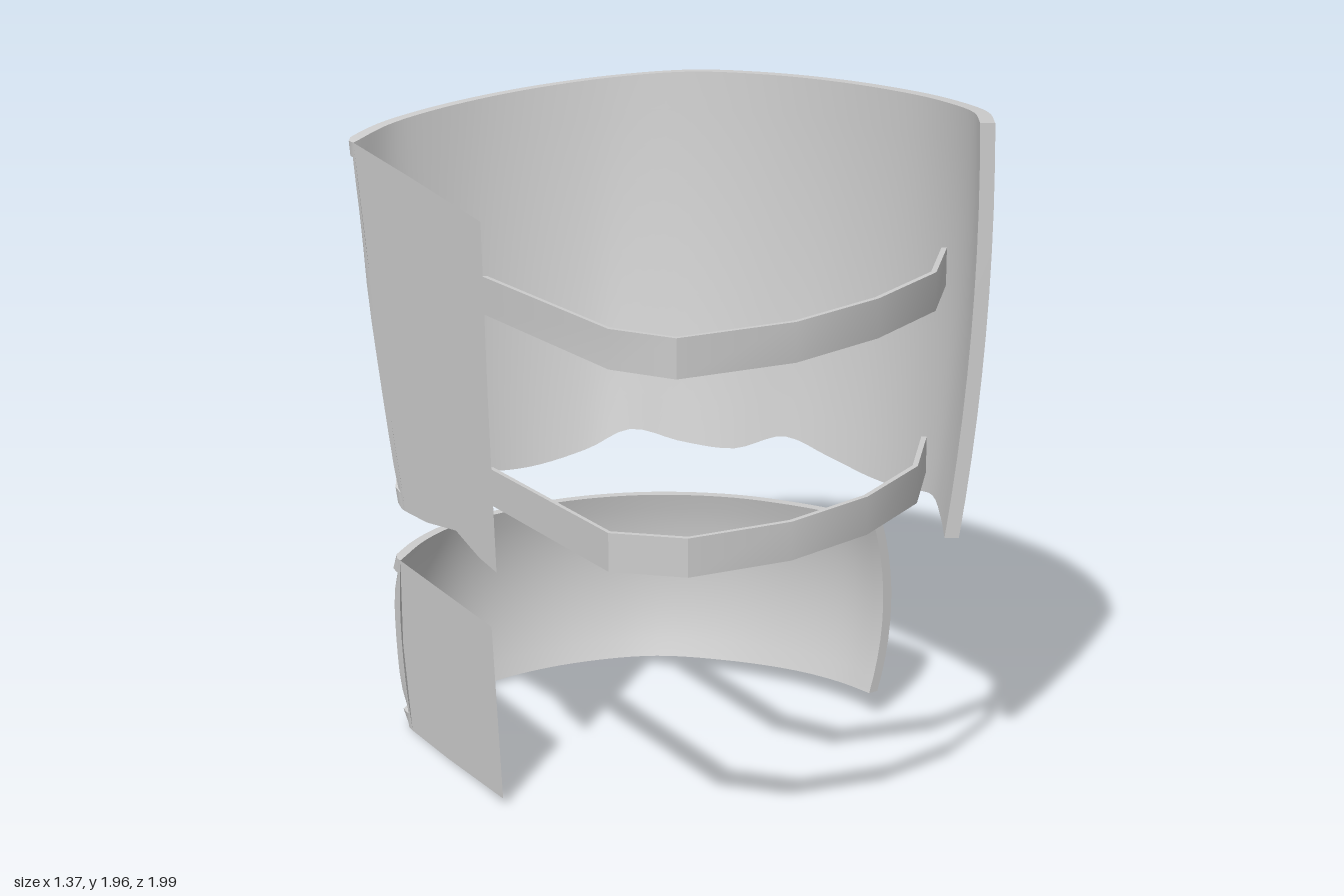
import * as THREE from 'three';
import { toCreasedNormals } from 'three/addons/utils/BufferGeometryUtils.js';

const CUT = -0.69; // flat inner side of the guard
const steel = new THREE.MeshStandardMaterial({ color: 0xcccccc, side: THREE.DoubleSide });
steel.name = 'pale grey';

const curve = pts => new THREE.CatmullRomCurve3(pts.map(p => new THREE.Vector3(...p)));

// Surface between a bottom and a top curve; offset is measured outwards
function makeWall(top, bottom, bulge) {
  const a = curve(top), b = curve(bottom);
  return (u, v, offset) => {
    const p = b.getPointAt(u).lerp(a.getPointAt(u), v);
    const t = b.getTangentAt(u).lerp(a.getTangentAt(u), v).setY(0).normalize();
    const d = offset + bulge * 4 * v * (1 - v);
    p.x = Math.max(CUT, p.x + t.z * d);
    p.z -= t.x * d;
    return p;
  };
}

// Box bent by a rule taking three coordinates from 0 to 1
function bentBox(name, nu, nv, rule, crease = 0.6) {
  let geo = new THREE.BoxGeometry(1, 1, 1, nu, nv, 1);
  const pos = geo.attributes.position;
  for (let i = 0; i < pos.count; i++) {
    const p = rule(pos.getX(i) + 0.5, pos.getY(i) + 0.5, pos.getZ(i) + 0.5);
    pos.setXYZ(i, p.x, p.y, p.z);
  }
  geo = toCreasedNormals(geo, crease);
  const mesh = new THREE.Mesh(geo, steel);
  mesh.name = name;
  return mesh;
}

const slab = (name, wall, [u0, u1], [v0, v1], [o0, o1], nu, nv) =>
  bentBox(name, nu, nv, (a, b, c) => wall(u1 + (u0 - u1) * a, v0 + (v1 - v0) * b, o0 + (o1 - o0) * c));

// Curved plate with raised borders on its top, bottom and front edges
function guard(name, wall, rimV, rimU, depth, nu, nv) {
  const g = new THREE.Group();
  g.name = name;
  g.add(
    slab(name + 'Plate', wall, [0, 1], [0, 1], [0, depth * 0.5], nu, nv),
    slab(name + 'TopRim', wall, [0, 1], [1 - rimV, 1], [0, depth], nu, 1),
    slab(name + 'BottomRim', wall, [0, 1], [0, rimV], [0, depth], nu, 1),
    slab(name + 'FrontRim', wall, [1 - rimU, 1], [0, 1], [0, depth], 1, nv));
  return g;
}

// Flat sheet on the cut side, outlined as [z, y]
function sidePanel(name, outline) {
  const geo = new THREE.ShapeGeometry(new THREE.Shape(outline.map(p => new THREE.Vector2(...p))));
  geo.rotateY(-Math.PI / 2);
  geo.translate(CUT, 0, 0);
  const mesh = new THREE.Mesh(geo, steel);
  mesh.name = name;
  return mesh;
}

// Thin band through plan points [x, z], sloping down towards the cut side
function strap(name, plan, base) {
  return bentBox(name, plan.length - 1, 1, (a, b, c) => {
    const [x, z] = plan[Math.round(a * (plan.length - 1))];
    const r = new THREE.Vector2(x + 0.15, z - 0.2).normalize().multiplyScalar(0.015 * (c - 1));
    const y = base - 0.045 * Math.pow((0.43 - x) / 1.12, 2) - (z < 0.1 ? 0.02 : 0);
    return new THREE.Vector3(Math.max(CUT, x + r.x), y + 0.105 * b, z + r.y);
  });
}

export function createModel() {
  const model = new THREE.Group();
  model.name = 'armGuard';

  // Tall upper guard with a wavy lower edge
  const upper = makeWall(
    [[-0.69, 1.76, -0.84], [-0.54, 1.785, -0.925], [-0.4, 1.805, -0.955], [-0.2, 1.83, -0.96],
      [0, 1.855, -0.92], [0.2, 1.88, -0.83], [0.36, 1.9, -0.7], [0.5, 1.91, -0.5], [0.6, 1.92, -0.22],
      [0.643, 1.93, 0.1], [0.62, 1.94, 0.32], [0.55, 1.955, 0.53], [0.445, 1.965, 0.705]],
    [[-0.69, 0.705, -0.55], [-0.64, 0.73, -0.61], [-0.5, 0.755, -0.7], [-0.35, 0.72, -0.737],
      [-0.18, 0.71, -0.737], [0, 0.75, -0.7], [0.12, 0.81, -0.645], [0.25, 0.775, -0.55],
      [0.36, 0.77, -0.42], [0.45, 0.835, -0.27], [0.51, 0.805, -0.12], [0.55, 0.78, 0.05],
      [0.555, 0.79, 0.22], [0.52, 0.835, 0.42], [0.46, 0.82, 0.55], [0.395, 0.8, 0.665]],
    0.025);
  model.add(guard('upperGuard', upper, 0.042, 0.022, 0.04, 64, 10));
  model.add(sidePanel('upperSidePanel', [[0.01, 1.69], [0.03, 1.2], [0.06, 0.705], [-0.05, 0.715],
    [-0.2, 0.75], [-0.4, 0.715], [-0.55, 0.705], [-0.72, 1.23], [-0.84, 1.76], [-0.45, 1.73]]));

  // Short bulging lower guard
  const lower = makeWall(
    [[-0.69, 0.535, -0.6], [-0.55, 0.54, -0.72], [-0.4, 0.545, -0.79], [-0.2, 0.55, -0.81],
      [0, 0.56, -0.775], [0.2, 0.57, -0.68], [0.38, 0.585, -0.5], [0.5, 0.6, -0.28],
      [0.565, 0.61, -0.1], [0.58, 0.62, 0.04]],
    [[-0.69, 0.005, -0.55], [-0.55, 0.008, -0.67], [-0.4, 0.012, -0.74], [-0.2, 0.02, -0.76],
      [0, 0.03, -0.725], [0.2, 0.04, -0.635], [0.37, 0.05, -0.46], [0.49, 0.065, -0.25],
      [0.545, 0.075, -0.08], [0.56, 0.085, 0.06]],
    0.045);
  model.add(guard('lowerGuard', lower, 0.085, 0.028, 0.032, 40, 10));
  model.add(sidePanel('lowerSidePanel', [[0.02, 0.53], [0.07, 0.025], [-0.3, 0.008], [-0.55, 0.004],
    [-0.6, 0.27], [-0.6, 0.535]]));

  // Two straps closing the open front
  model.add(strap('upperStrap', [[-0.69, 0.01], [-0.69, 0.73], [-0.6, 0.915], [-0.3, 0.99],
    [-0.02, 0.935], [0.25, 0.8], [0.43, 0.59]], 1.5));
  model.add(strap('lowerStrap', [[-0.69, 0.02], [-0.69, 0.72], [-0.55, 0.885], [-0.28, 0.945],
    [-0.02, 0.9], [0.23, 0.765], [0.4, 0.56]], 0.96));
  return model;
}
